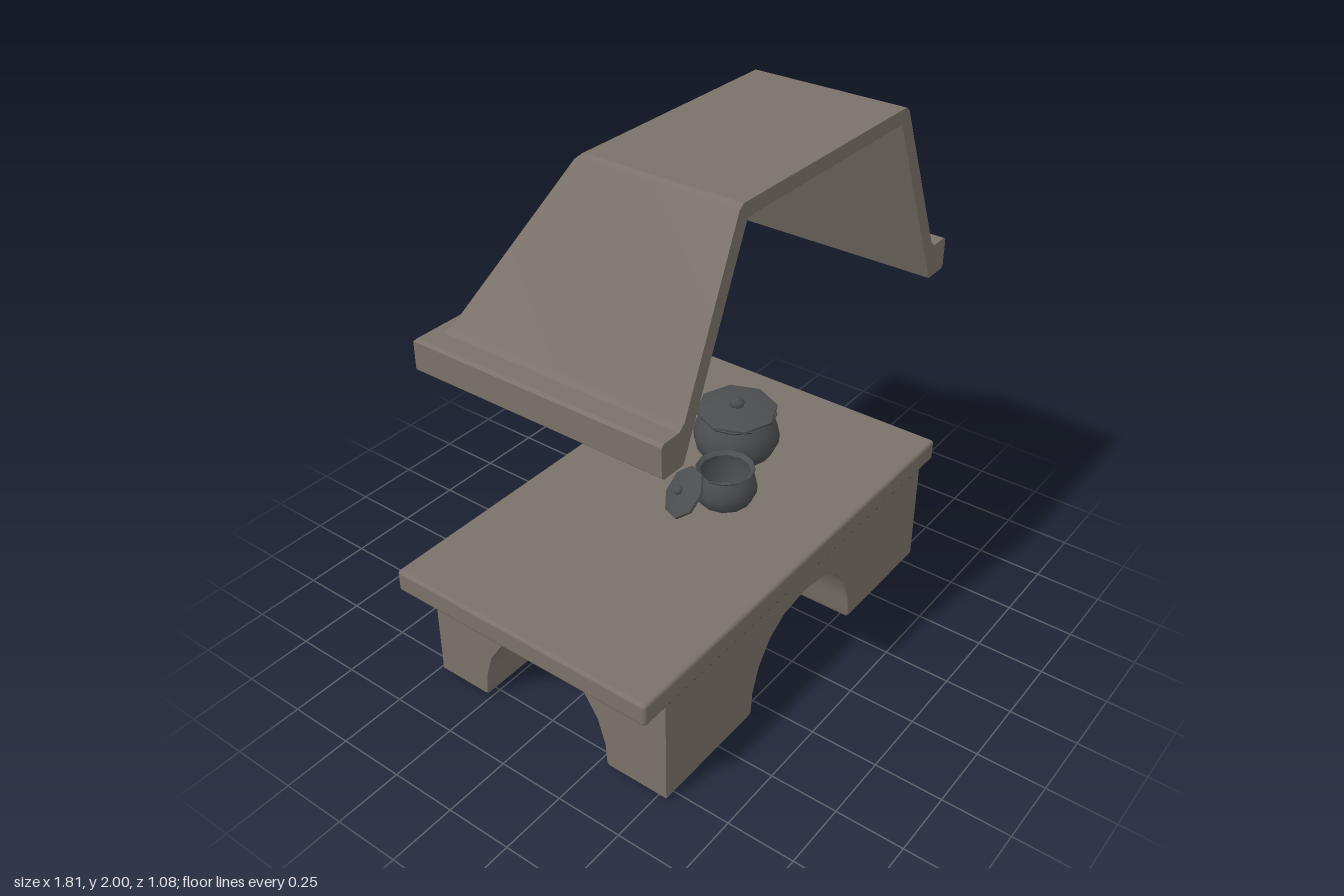
import * as THREE from 'three';
import { toCreasedNormals } from 'three/addons/utils/BufferGeometryUtils.js';
import { RoundedBoxGeometry } from 'three/addons/geometries/RoundedBoxGeometry.js';

const stone = new THREE.MeshStandardMaterial({ color: 0x7a726a });
const iron = new THREE.MeshStandardMaterial({ color: 0x4b4d4f, side: THREE.DoubleSide });
const wood = new THREE.MeshStandardMaterial({ color: 0x8a5c36 });

function add(parent, name, geometry, material) {
  const mesh = new THREE.Mesh(geometry, material);
  mesh.name = name;
  parent.add(mesh);
  return mesh;
}

// Surface from a grid of points; other(c, r) picks the second quad diagonal
function grid(cols, rows, point, other = () => false) {
  const pos = [], idx = [];
  for (let r = 0; r < rows; r++) for (let c = 0; c < cols; c++) pos.push(...point(c, r));
  for (let r = 0; r < rows - 1; r++) for (let c = 0; c < cols - 1; c++) {
    const a = r * cols + c, b = a + 1, d = a + cols, e = d + 1;
    if (other(c, r)) idx.push(a, b, e, a, e, d);
    else idx.push(a, b, d, b, e, d);
  }
  const g = new THREE.BufferGeometry();
  g.setAttribute('position', new THREE.Float32BufferAttribute(pos, 3));
  g.setIndex(idx);
  g.computeVertexNormals();
  return toCreasedNormals(g, 0.6);
}

// Table base: two arched tunnels cross, leaving four legs
function baseGeometry() {
  const arch = [[1.03, 0], [1, 0.02], [0.98, 0.1], [0.87, 0.2], [0.67, 0.285], [0.4, 0.335], [0, 0.355]];
  const profile = (min, max, centre, half) => {
    const left = arch.map(([t, y]) => [centre - t * half, y]);
    const right = arch.slice(0, -1).reverse().map(([t, y]) => [centre + t * half, y]);
    return [[min, 0.42], [min, 0.012], [min + 0.012, 0], ...left, ...right,
      [max - 0.012, 0], [max, 0.012], [max, 0.42]];
  };
  const px = profile(-0.8, 0.8, 0, 0.32), pz = profile(-0.478, 0.538, 0.015, 0.275);
  const mid = (px.length - 1) / 2;
  return grid(px.length, pz.length,
    (c, r) => [px[c][0], Math.max(px[c][1], pz[r][1]), pz[r][0]],
    (c, r) => (c < mid) === (r < mid));
}

// Hood: a U-shaped wall, open at the front, from inner ceiling to outer top
function buildHood(parent) {
  const front = 0.54;
  const profile = [ // half width, back z, height
    [0, front, 1.95], [0.42, 0.01, 1.95], [0.71, -0.37, 1.29],
    [0.8, -0.42, 1.29], [0.81, -0.43, 1.3], [0.81, -0.43, 1.4], [0.8, -0.42, 1.41],
    [0.73, -0.38, 1.41], [0.705, -0.362, 1.43], [0.46, -0.045, 1.985], [0.44, -0.03, 2], [0, front, 2],
  ];
  const hood = new THREE.Group();
  hood.name = 'hood';
  parent.add(hood);
  add(hood, 'hoodShell', grid(4, profile.length, (c, r) => {
    const [x, z, y] = profile[r];
    return [c < 2 ? x : -x, y, c === 0 || c === 3 ? front : z];
  }), stone);
  const half = profile.slice(1, -1).map(([x, , y]) => new THREE.Vector2(x, y));
  const mirrored = half.map((p) => new THREE.Vector2(-p.x, p.y)).reverse();
  add(hood, 'hoodFrontRim', new THREE.ShapeGeometry(new THREE.Shape([...half, ...mirrored])), stone)
    .position.z = front;
}

function lathe(points, sides) {
  return toCreasedNormals(new THREE.LatheGeometry(points.map((p) => new THREE.Vector2(...p)), sides), 0.9);
}

// Round-bellied pot with a flared lip, open on top
function pot(parent, name, r, h, x, z) {
  const g = lathe([[0, 0], [0.6, 0], [0.82, 0.1], [0.98, 0.32], [1, 0.5], [0.94, 0.74], [0.83, 0.9],
    [0.93, 0.98], [0.91, 1], [0.78, 0.92], [0.86, 0.6], [0.7, 0.15], [0, 0.1]]
    .map(([a, b]) => [a * r, b * h]), 12);
  add(parent, name, g, iron).position.set(x, 0.5, z);
}

// Eight-sided lid with a knob
function lid(parent, name, r, position, normal) {
  const group = new THREE.Group();
  group.name = name;
  add(group, 'lidPlate', lathe([[0, 0], [r * 0.9, -0.006], [r, -0.004], [r, 0.006], [r * 0.75, 0.014], [0, 0.024]], 8), iron);
  const knob = add(group, 'lidKnob', new THREE.SphereGeometry(r * 0.19, 8, 6), iron);
  knob.position.y = 0.03;
  knob.scale.y = 0.75;
  group.position.set(...position);
  group.quaternion.setFromUnitVectors(new THREE.Vector3(0, 1, 0), new THREE.Vector3(...normal).normalize());
  parent.add(group);
}

// Split log: a prism between two points, with its cross-section turned by roll
function log(parent, from, to, section, roll = 0) {
  const a = new THREE.Vector3(...from), b = new THREE.Vector3(...to);
  const shape = new THREE.Shape(section.map((p) => new THREE.Vector2(...p)));
  const g = new THREE.ExtrudeGeometry(shape, { depth: a.distanceTo(b), bevelEnabled: false });
  const mesh = add(parent, 'log', g, wood);
  mesh.position.copy(a);
  mesh.lookAt(b);
  mesh.rotateZ(roll);
}

export function createModel() {
  const model = new THREE.Group();
  model.name = 'hearth';

  // Stone table
  add(model, 'tableBase', baseGeometry(), stone);
  add(model, 'tableTop', new RoundedBoxGeometry(1.81, 0.087, 1.08, 2, 0.014), stone).position.y = 0.457;
  buildHood(model);

  // Cookware
  const cookware = new THREE.Group();
  cookware.name = 'cookware';
  model.add(cookware);
  pot(cookware, 'largePot', 0.165, 0.19, 0.37, -0.025);
  lid(cookware, 'largePotLid', 0.155, [0.37, 0.697, -0.025], [-0.04, 1, 0.03]);
  pot(cookware, 'smallPot', 0.118, 0.15, 0.095, 0.12);
  lid(cookware, 'smallPotLid', 0.1, [-0.05, 0.588, 0.045], [-0.66, 0.62, -0.4]);

  // Firewood: two leaning beams over wedges lying on the ground
  const firewood = new THREE.Group();
  firewood.name = 'firewood';
  model.add(firewood);
  const beam = [[-0.04, -0.05], [0.045, -0.05], [0.04, 0.05], [-0.045, 0.05]];
  const wedge = [[-0.065, -0.02], [-0.02, -0.04], [0.04, -0.035], [0.065, -0.01], [0, 0.05]];
  const plank = [[-0.06, -0.02], [0.06, -0.02], [0.05, 0.015], [-0.045, 0.02]];
  log(firewood, [0.3, 0.075, 0.21], [0.045, 0.17, -0.24], beam);
  log(firewood, [-0.3, 0.105, -0.03], [-0.02, 0.185, -0.2], beam);
  log(firewood, [-0.08, 0.05, 0.08], [-0.09, 0.05, -0.52], wedge);
  log(firewood, [0.03, 0.04, 0.1], [0.01, 0.04, -0.42], wedge, 0.2);
  log(firewood, [0.16, 0.05, 0.06], [0.12, 0.06, -0.5], plank, 0.45);
  log(firewood, [0, 0.095, 0.04], [-0.01, 0.1, -0.3], plank.map(([x, y]) => [x * 0.6, y]), -0.2);

  return model;
}
